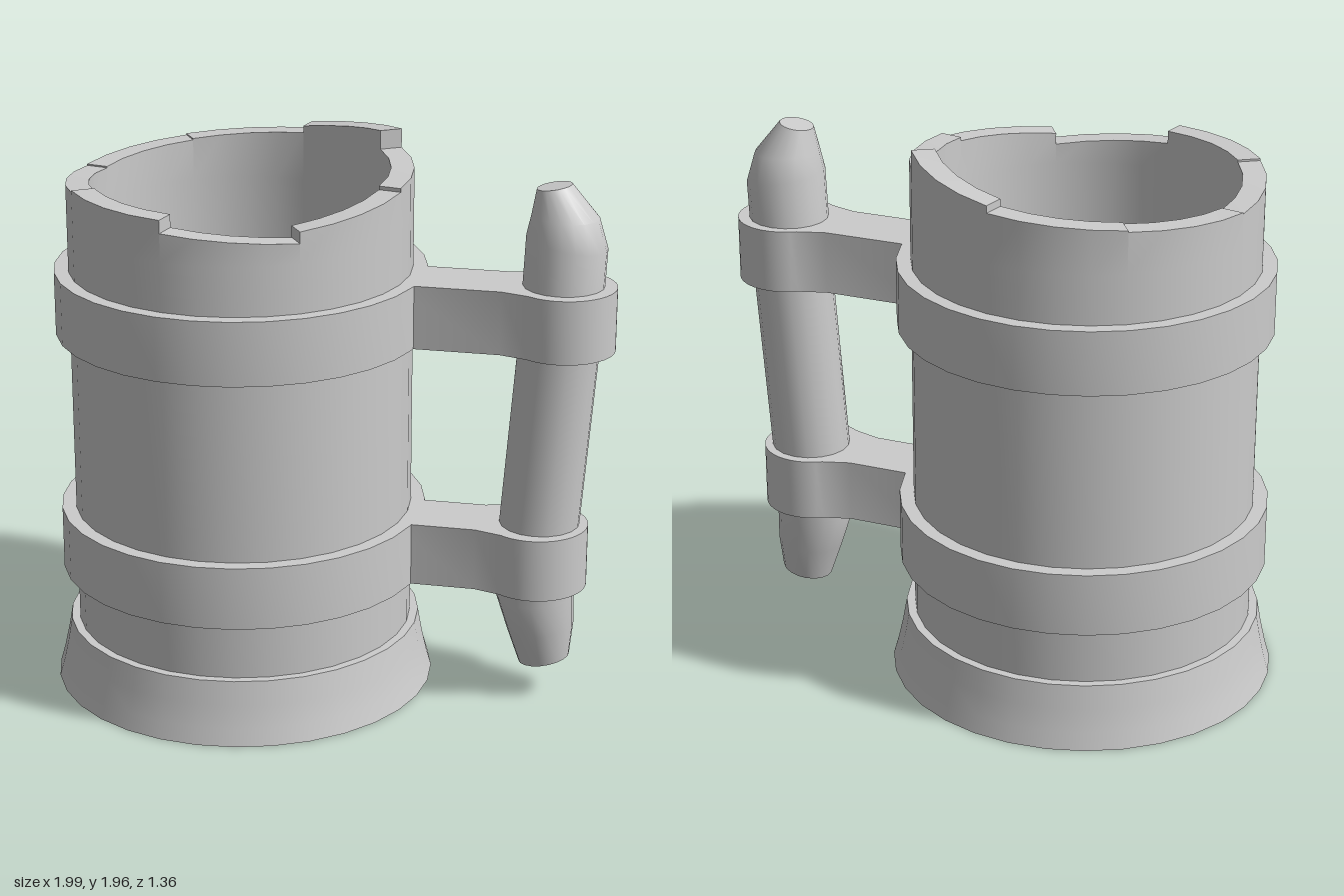
import * as THREE from 'three';
import { mergeGeometries, toCreasedNormals } from 'three/addons/utils/BufferGeometryUtils.js';

const CUP_X = -0.32;
const OUTER = 0.6, INNER = 0.52, RIM_Y = 1.7;
const RAD = Math.PI / 180;
const material = new THREE.MeshStandardMaterial({ color: 0xcccccc });

function addMesh(parent, name, geometry, x = 0, y = 0, z = 0) {
  const mesh = new THREE.Mesh(toCreasedNormals(geometry, 0.5), material);
  mesh.name = name;
  mesh.position.set(x, y, z);
  parent.add(mesh);
  return mesh;
}

// Turned part from [radius, height] pairs, facets aligned with the rim staves
function turned(profile, segments = 32) {
  const points = profile.map(([r, y]) => new THREE.Vector2(r, y));
  return new THREE.LatheGeometry(points, segments, 78 * RAD);
}

// One rim stave: a box bent round the cup, its top sloping between two heights
function stave(startDeg, h0, h1) {
  const g = new THREE.BoxGeometry(1, 1, 1, 4, 1, 1);
  const p = g.attributes.position;
  for (let i = 0; i < p.count; i++) {
    const t = 0.5 - p.getX(i);
    const a = (startDeg + 45 * t) * RAD;
    const r = p.getZ(i) > 0 ? OUTER : INNER;
    const y = p.getY(i) > 0 ? h0 + (h1 - h0) * t : RIM_Y;
    p.setXYZ(i, r * Math.cos(a), y, r * Math.sin(a));
  }
  return g;
}

// Bracket arm flaring into a round collar about the grip
function bracket(collarX, height) {
  const r = 0.18, a = 125 * RAD, half = 0.118;
  const s = new THREE.Shape();
  s.moveTo(0.24, half);
  s.lineTo(0.24, -half);
  s.lineTo(collarX - 0.2, -half);
  s.absarc(collarX, 0, r, -a, a, false);
  s.lineTo(collarX - 0.2, half);
  s.closePath();
  const g = new THREE.ExtrudeGeometry(s, { depth: height, bevelEnabled: false, curveSegments: 16 });
  return g.rotateX(-Math.PI / 2);
}

// Curved horn-like grip: rings of [centre x, centre y, radius, tilt]
function grip() {
  const rings = [
    [0.78, 0.138, 0, 0.19],
    [0.78, 0.138, 0.09, 0.19],
    [0.764, 0.26, 0.118, 0.12],
    [0.742, 0.38, 0.137, 0.05],
    [0.75, 0.65, 0.14, -0.077],
    [0.8, 1.3, 0.14, -0.077],
    [0.818, 1.685, 0.139, -0.17],
    [0.81, 1.775, 0.115, -0.05],
    [0.77, 1.875, 0.06, 0.17],
    [0.77, 1.875, 0, 0.17],
  ];
  const g = new THREE.LatheGeometry(rings.map(([, y, r]) => new THREE.Vector2(r, y)), 18);
  const p = g.attributes.position;
  for (let i = 0; i < p.count; i++) {
    const [cx, cy, , tilt] = rings[i % rings.length];
    const x = p.getX(i);
    p.setXYZ(i, cx + x, cy + x * tilt, p.getZ(i));
  }
  return g;
}

export function createModel() {
  const group = new THREE.Group();
  group.name = 'tankard';

  // Flared foot
  addMesh(group, 'foot', turned([
    [0, 0], [0.68, 0], [0.663, 0.06], [0.645, 0.14], [0.63, 0.225], [0.58, 0.225],
  ]), CUP_X);

  // Cup wall and inside floor
  addMesh(group, 'cup', turned([
    [OUTER, 0.2], [OUTER, RIM_Y], [INNER, RIM_Y], [INNER, 0.15], [0, 0.15],
  ]), CUP_X);

  // Uneven rim: start and end height of each stave, going round from the grip
  const heights = [
    [1.855, 1.81], [1.77, 1.8], [1.845, 1.852], [1.845, 1.815],
    [1.82, 1.845], [1.85, 1.875], [1.9, 1.957], [1.89, 1.868],
  ];
  const staves = heights.map(([h0, h1], i) => stave(12 + 45 * i, h0, h1));
  addMesh(group, 'rim', mergeGeometries(staves), CUP_X);

  // Two hoops, each with a bracket holding the grip
  const hoops = [
    ['lower', 0.43, 0.655, 0.742],
    ['upper', 1.305, 1.53, 0.815],
  ];
  for (const [level, y0, y1, collarX] of hoops) {
    const hoop = [[0.59, y0], [0.65, y0], [0.65, y1], [0.59, y1]];
    addMesh(group, level + 'Hoop', turned(hoop), CUP_X);
    addMesh(group, level + 'Bracket', bracket(collarX, y1 - y0), 0, y0, 0.012);
  }

  addMesh(group, 'grip', grip(), 0, 0, 0.006);
  return group;
}
